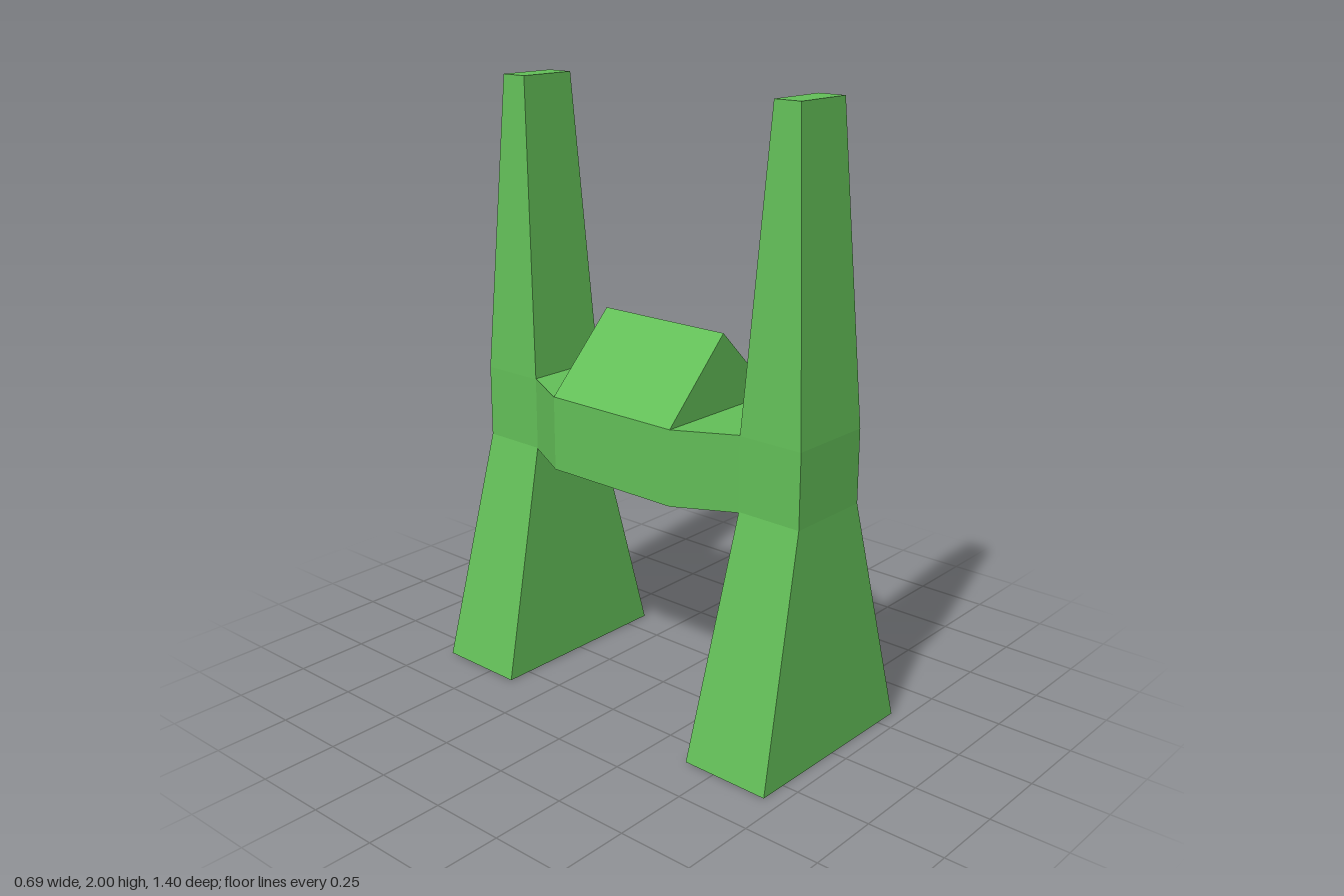
import * as THREE from 'three';

// Stack of four-cornered rings; group 0 is the body, group 1 the +x side
function loft(rings) {
  const corners = rings.map(([y, x, z0, z1]) => [
    [x, y, z1], [x, y, z0], [-x, y, z0], [-x, y, z1],
  ]);
  const main = [], side = [];
  const quad = (out, a, b, c, d) => out.push(...a, ...b, ...c, ...a, ...c, ...d);
  for (let i = 0; i < rings.length - 1; i++) {
    const lo = corners[i], hi = corners[i + 1];
    for (let k = 0; k < 4; k++) {
      const n = (k + 1) % 4;
      quad(k === 0 ? side : main, lo[k], lo[n], hi[n], hi[k]);
    }
  }
  const b = corners[0], t = corners[corners.length - 1];
  quad(main, b[3], b[2], b[1], b[0]);
  quad(main, t[0], t[1], t[2], t[3]);
  const g = new THREE.BufferGeometry();
  g.setAttribute('position', new THREE.Float32BufferAttribute([...main, ...side], 3));
  g.addGroup(0, main.length / 3, 0);
  g.addGroup(main.length / 3, side.length / 3, 1);
  g.computeVertexNormals();
  return g;
}

function polygon(points) {
  return new THREE.Shape(points.map(([x, y]) => new THREE.Vector2(x, y)));
}

export function createModel() {
  const green = new THREE.MeshStandardMaterial({ color: 0x63bf58 });
  green.name = 'leaf green';
  const purple = new THREE.MeshStandardMaterial({ color: 0x8b0de9 });
  purple.name = 'violet';
  const model = new THREE.Group();
  model.name = 'twinTowerBridge';

  const add = (name, geometry, material) => {
    const mesh = new THREE.Mesh(geometry, material);
    mesh.name = name;
    model.add(mesh);
    return mesh;
  };

  // Tapered towers: flared foot, straight waist, narrowing top (y, half width, z range)
  const section = [
    [0, 0.337, -0.152, 0.152],
    [0.78, 0.147, -0.112, 0.112],
    [1.02, 0.147, -0.112, 0.112],
    [2, 0.103, -0.047, 0.047],
  ];
  for (const s of [1, -1]) {
    add(s > 0 ? 'frontTower' : 'backTower', loft(section), [green, purple])
      .position.z = s * 0.546;
  }

  // Bridge deck: octagonal plan, widest in the middle
  const plan = polygon([
    [-0.247, -0.246], [-0.147, -0.434], [0.147, -0.434], [0.247, -0.246],
    [0.247, 0.246], [0.147, 0.434], [-0.147, 0.434], [-0.247, 0.246],
  ]);
  const deck = new THREE.ExtrudeGeometry(plan, { depth: 0.245, bevelEnabled: false });
  deck.rotateX(-Math.PI / 2).translate(0, 0.777, 0);
  add('bridgeDeck', deck, green);

  // Gabled roof over the wide part of the deck
  const gable = polygon([[-0.247, 1.022], [0.247, 1.022], [0, 1.27]]);
  const roof = new THREE.ExtrudeGeometry(gable, { depth: 0.492, bevelEnabled: false });
  roof.translate(0, 0, -0.246);
  add('bridgeRoof', roof, green);

  // Slight turn of the whole structure
  model.rotation.y = -0.01;
  return model;
}
